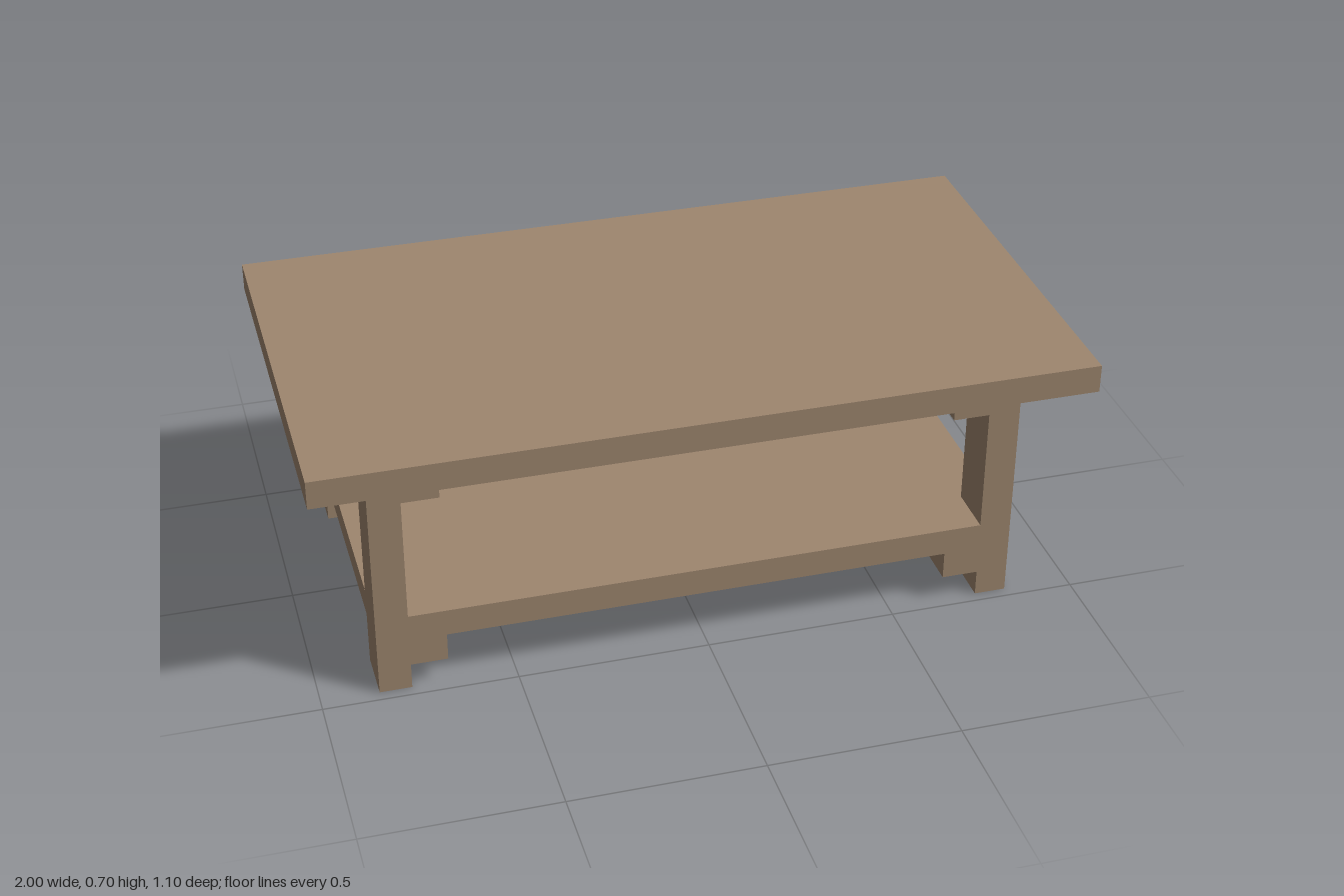
import * as THREE from 'three';

export function createModel() {
  const table = new THREE.Group();
  table.name = 'coffeeTable';
  const wood = new THREE.MeshStandardMaterial({ color: 0x9f876f });
  wood.name = 'wood';

  const TOP_UNDER = 0.63, SHELF_LOW = 0.145, SHELF_HIGH = 0.218;
  const OUT_X = 0.838, IN_X = 0.755, RAIL_X = 0.66;
  const OUT_Z = 0.472, IN_Z = 0.332;

  // Box given by its low and high corners
  function box(name, parent, [x0, y0, z0], [x1, y1, z1]) {
    const mesh = new THREE.Mesh(new THREE.BoxGeometry(x1 - x0, y1 - y0, z1 - z0), wood);
    mesh.position.set((x0 + x1) / 2, (y0 + y1) / 2, (z0 + z1) / 2);
    mesh.name = name;
    parent.add(mesh);
  }

  box('tableTop', table, [-1, TOP_UNDER, -0.55], [1, 0.705, 0.55]);

  // The base sits slightly off centre under the top
  const base = new THREE.Group();
  base.name = 'base';
  base.position.set(-0.013, 0, -0.002);
  table.add(base);

  for (const side of [-1, 1]) {
    const label = side > 0 ? 'left' : 'right';
    const span = (a, b) => [side * a, side * b].sort((p, q) => p - q);

    // Legs, front and back
    const [lx0, lx1] = span(IN_X, OUT_X);
    box(label + 'FrontLeg', base, [lx0, 0, IN_Z], [lx1, TOP_UNDER, OUT_Z]);
    box(label + 'BackLeg', base, [lx0, 0, -OUT_Z], [lx1, TOP_UNDER, -IN_Z]);

    // Rails inside the legs, under the top and under the shelf
    const [rx0, rx1] = span(RAIL_X, IN_X);
    box(label + 'UpperRail', base, [rx0, 0.555, -OUT_Z], [rx1, TOP_UNDER, OUT_Z]);
    box(label + 'LowerRail', base, [rx0, 0.07, -OUT_Z], [rx1, SHELF_LOW, OUT_Z]);
  }

  // Shelf board with its corners notched around the legs
  const outline = new THREE.Shape([
    [-IN_X, -OUT_Z], [IN_X, -OUT_Z], [IN_X, -IN_Z], [OUT_X, -IN_Z],
    [OUT_X, IN_Z], [IN_X, IN_Z], [IN_X, OUT_Z], [-IN_X, OUT_Z],
    [-IN_X, IN_Z], [-OUT_X, IN_Z], [-OUT_X, -IN_Z], [-IN_X, -IN_Z],
  ].map(([x, z]) => new THREE.Vector2(x, z)));
  const shelfGeometry = new THREE.ExtrudeGeometry(outline, {
    depth: SHELF_HIGH - SHELF_LOW, bevelEnabled: false,
  });
  shelfGeometry.rotateX(-Math.PI / 2);
  const shelf = new THREE.Mesh(shelfGeometry, wood);
  shelf.position.y = SHELF_LOW;
  shelf.name = 'shelf';
  base.add(shelf);

  return table;
}
